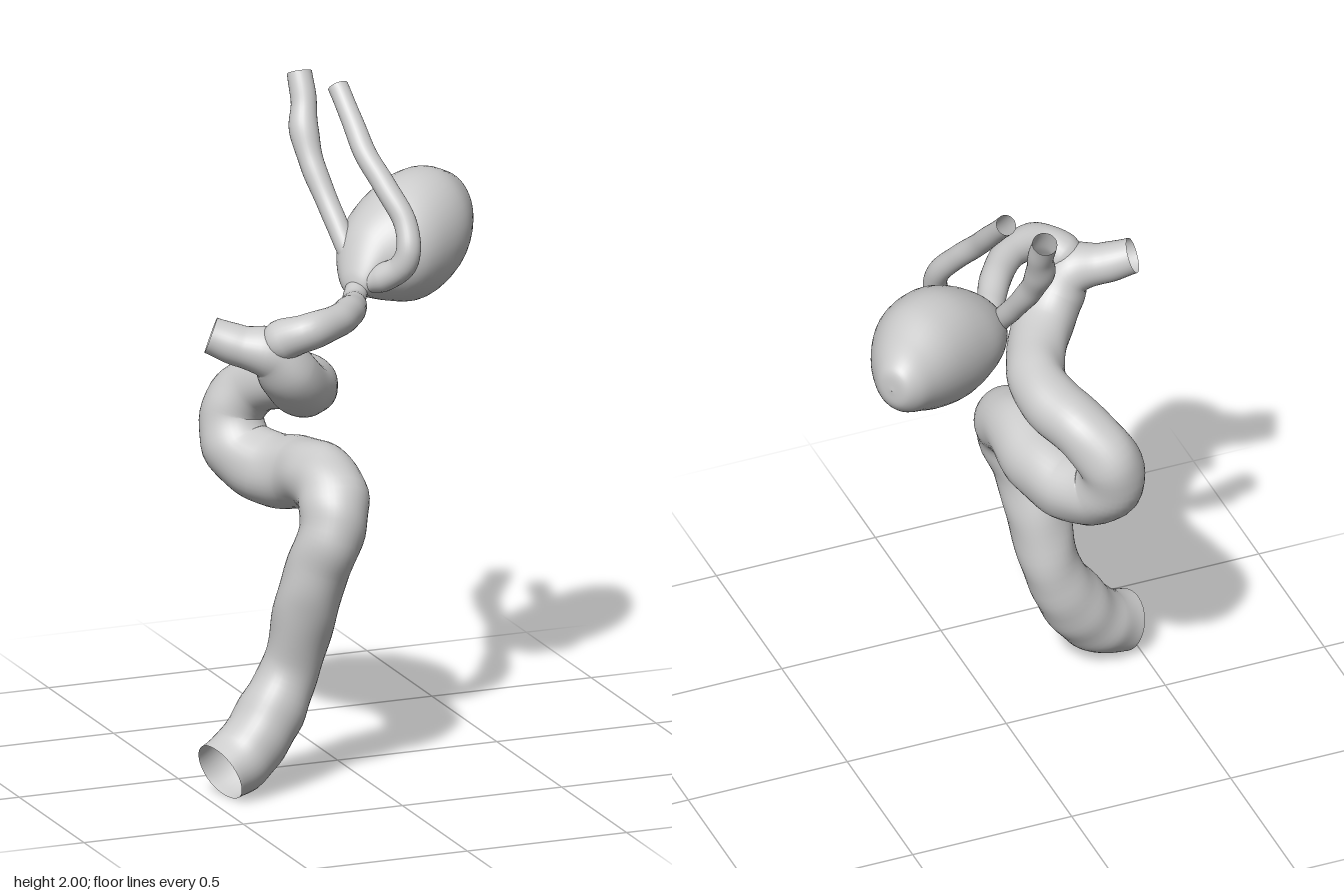
import * as THREE from 'three';

const material = new THREE.MeshStandardMaterial({ color: 0xcccccc, side: THREE.DoubleSide });
const V = (x, y, z) => new THREE.Vector3(x, y, z);

// Skins a list of closed rings (equal point counts) with smooth normals
function loft(name, rings) {
  const n = rings[0].length, index = [];
  for (let i = 0; i < rings.length - 1; i++) {
    for (let j = 0; j < n; j++) {
      const k = (j + 1) % n;
      const a = i * n + j, b = i * n + k, c = a + n, d = b + n;
      index.push(a, b, c, b, d, c);
    }
  }
  const geometry = new THREE.BufferGeometry().setFromPoints(rings.flat());
  geometry.setIndex(index);
  geometry.computeVertexNormals();
  const mesh = new THREE.Mesh(geometry, material);
  mesh.name = name;
  return mesh;
}

// Gentle organic unevenness
const ripple = (p) => 1 + 0.03 * Math.sin(p.x * 31 + p.y * 17) * Math.sin(p.z * 29 - p.y * 23 + 1);

// Open tube of varying radius; each stop is [x, y, z, radius]
function vessel(name, stops, sides = 28) {
  const path = new THREE.CatmullRomCurve3(stops.map((s) => V(s[0], s[1], s[2])));
  const steps = (stops.length - 1) * 7, rings = [];
  const normal = V(0.13, 0.31, 0.94);
  for (let i = 0; i <= steps; i++) {
    const t = i / steps, f = t * (stops.length - 1);
    const k = Math.min(Math.floor(f), stops.length - 2);
    const e = THREE.MathUtils.smoothstep(f - k, 0, 1);
    const radius = THREE.MathUtils.lerp(stops[k][3], stops[k + 1][3], e);
    const center = path.getPoint(t), tangent = path.getTangent(t);
    normal.addScaledVector(tangent, -normal.dot(tangent)).normalize();
    const binormal = tangent.clone().cross(normal);
    const ring = [];
    for (let j = 0; j < sides; j++) {
      const a = (j / sides) * Math.PI * 2;
      const dir = normal.clone().multiplyScalar(Math.cos(a)).addScaledVector(binormal, Math.sin(a));
      const p = center.clone().addScaledVector(dir, radius);
      ring.push(center.clone().addScaledVector(dir, radius * ripple(p)));
    }
    rings.push(ring);
  }
  return loft(name, rings);
}

// Bulging sac: lopsided ovals along a level axis
function sac(name) {
  const center = V(0.28, 0, -0.14), axis = V(0.83, 0, -0.55), across = V(0.55, 0, 0.83);
  // [distance along axis, back edge, front edge, bottom, top]
  const sections = [
    [-0.285, -0.01, 0.0, 1.43, 1.44], [-0.27, -0.055, 0.035, 1.405, 1.49],
    [-0.21, -0.112, 0.075, 1.39, 1.59], [-0.12, -0.152, 0.148, 1.36, 1.665],
    [-0.02, -0.16, 0.165, 1.34, 1.71], [0.09, -0.155, 0.153, 1.37, 1.715],
    [0.19, -0.14, 0.1, 1.425, 1.68], [0.255, -0.122, 0.045, 1.465, 1.65],
    [0.288, -0.095, 0.005, 1.505, 1.62], [0.296, -0.046, -0.044, 1.56, 1.562],
  ];
  const widths = new THREE.CatmullRomCurve3(sections.map((s) => V(s[0], s[1], s[2])));
  const heights = new THREE.CatmullRomCurve3(sections.map((s) => V(s[0], s[3], s[4])));
  const rings = [], steps = 54, sides = 40;
  for (let i = 0; i <= steps; i++) {
    const w = widths.getPoint(i / steps), h = heights.getPoint(i / steps);
    const ring = [];
    for (let j = 0; j < sides; j++) {
      const a = (j / sides) * Math.PI * 2;
      const p = center.clone().addScaledVector(axis, w.x);
      p.addScaledVector(across, (w.y + w.z) / 2 + (Math.sin(a) * (w.z - w.y)) / 2);
      p.y = (h.y + h.z) / 2 + (Math.cos(a) * (h.z - h.y)) / 2;
      ring.push(p);
    }
    rings.push(ring);
  }
  return loft(name, rings);
}

export function createModel() {
  const model = new THREE.Group();
  model.name = 'vesselTree';

  // Thick winding trunk, from the lower opening to the upper opening
  model.add(vessel('mainVessel', [
    [-0.468, 0.088, 0.243, 0.092], [-0.385, 0.125, 0.22, 0.098], [-0.3, 0.225, 0.202, 0.1],
    [-0.222, 0.38, 0.195, 0.086], [-0.197, 0.56, 0.24, 0.094], [-0.175, 0.69, 0.28, 0.092],
    [-0.14, 0.8, 0.303, 0.096], [-0.12, 0.887, 0.26, 0.103], [-0.115, 0.915, 0.14, 0.105],
    [-0.12, 0.898, 0.02, 0.106], [-0.17, 0.882, -0.1, 0.109], [-0.23, 0.925, -0.2, 0.102],
    [-0.23, 1.03, -0.24, 0.093], [-0.18, 1.115, -0.19, 0.088], [-0.125, 1.155, -0.07, 0.088],
    [-0.115, 1.175, 0.04, 0.086], [-0.15, 1.195, 0.14, 0.085], [-0.215, 1.228, 0.235, 0.087],
    [-0.268, 1.285, 0.282, 0.086], [-0.32, 1.352, 0.287, 0.076], [-0.41, 1.378, 0.25, 0.061],
    [-0.485, 1.408, 0.213, 0.053],
  ], 36));

  // Side branch running from inside the trunk to the neck of the sac
  model.add(vessel('sideBranch', [
    [-0.325, 1.37, 0.29, 0.05], [-0.3, 1.4, 0.318, 0.062], [-0.24, 1.43, 0.358, 0.055],
    [-0.14, 1.437, 0.32, 0.048], [-0.065, 1.432, 0.235, 0.047], [-0.005, 1.418, 0.13, 0.041],
    [0.03, 1.412, 0.05, 0.034], [0.065, 1.428, -0.01, 0.034],
  ]));

  // Round sac at the fork
  model.add(sac('sac'));

  // Two thin outlets rising to the top
  model.add(vessel('rearOutlet', [
    [0.075, 1.505, -0.08, 0.032], [0.064, 1.545, -0.112, 0.032], [0.048, 1.63, -0.18, 0.033],
    [0.025, 1.74, -0.255, 0.036], [0.018, 1.83, -0.305, 0.043], [0.032, 1.91, -0.34, 0.038],
    [0.035, 1.985, -0.378, 0.037],
  ]));
  model.add(vessel('frontOutlet', [
    [0.1, 1.452, 0.01, 0.036], [0.13, 1.467, 0.04, 0.042], [0.168, 1.505, 0.083, 0.039],
    [0.184, 1.56, 0.096, 0.036], [0.185, 1.64, 0.06, 0.034], [0.15, 1.73, -0.01, 0.034],
    [0.118, 1.82, -0.09, 0.033], [0.108, 1.9, -0.165, 0.031], [0.097, 1.975, -0.235, 0.03],
  ]));

  return model;
}
